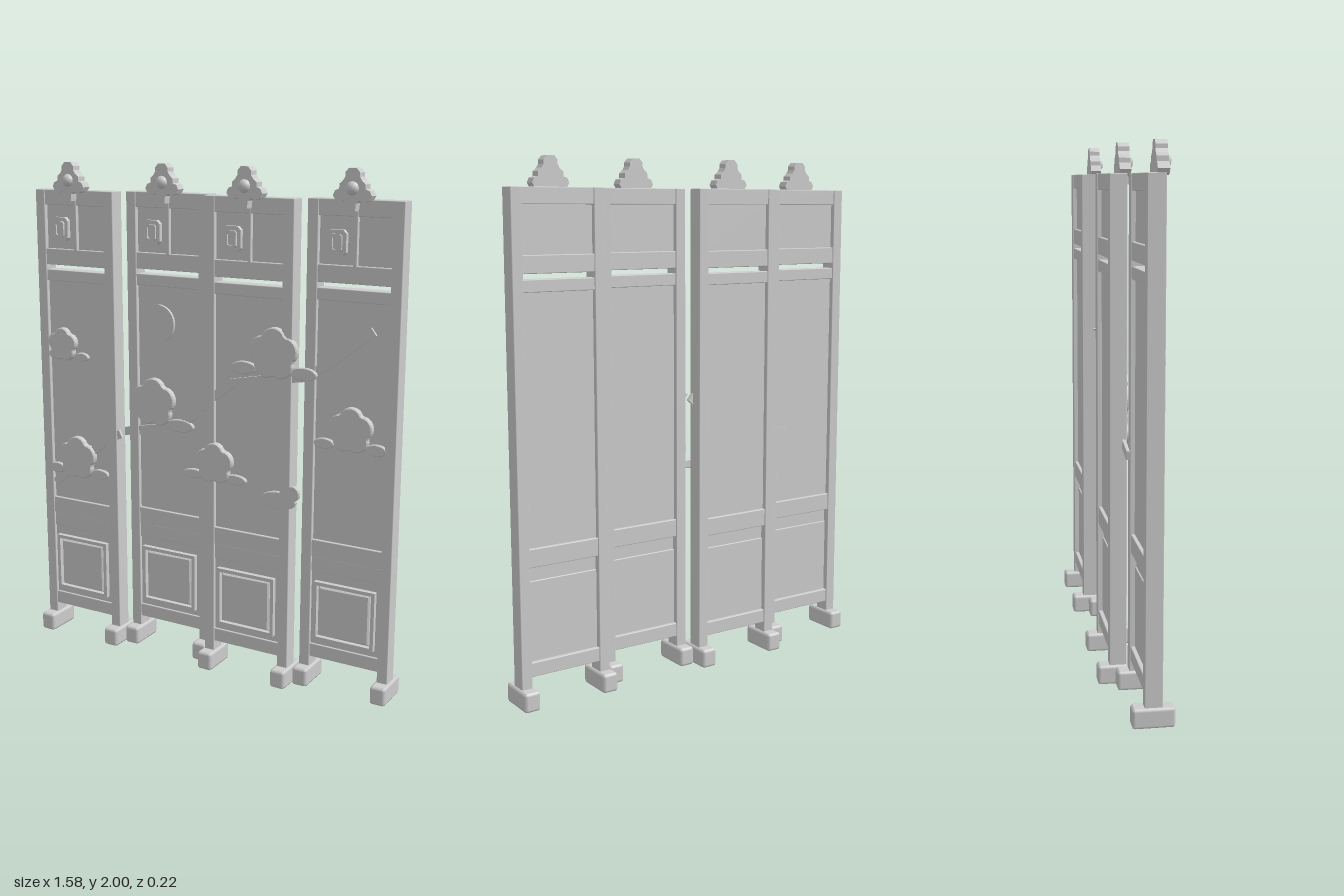
import * as THREE from 'three';
import { RoundedBoxGeometry } from 'three/addons/geometries/RoundedBoxGeometry.js';

const stone = new THREE.MeshStandardMaterial({ color: 0xcccccc });
stone.name = 'pale grey';

function add(parent, name, geometry, x = 0, y = 0, z = 0) {
  const mesh = new THREE.Mesh(geometry, stone);
  mesh.name = name;
  mesh.position.set(x, y, z);
  parent.add(mesh);
  return mesh;
}

// Box given by its limits, with slightly eased edges
function slab(parent, name, x0, x1, y0, y1, z0, z1, r = 0.003) {
  const g = new RoundedBoxGeometry(x1 - x0, y1 - y0, z1 - z0, 1, r);
  return add(parent, name, g, (x0 + x1) / 2, (y0 + y1) / 2, (z0 + z1) / 2);
}

function extrude(shape, depth, bevel = 0) {
  return new THREE.ExtrudeGeometry(shape, {
    depth: depth - bevel, bevelEnabled: bevel > 0, bevelThickness: bevel,
    bevelSize: bevel, bevelOffset: -bevel, bevelSegments: 1, curveSegments: 10,
  });
}

const toShape = (pts) => new THREE.Shape(pts.map(([x, y]) => new THREE.Vector2(x, y)));

// Rectangle with cut corners
const cutRect = (w, h, c) => toShape([
  [-w + c, -h], [w - c, -h], [w, -h + c], [w, h - c],
  [w - c, h], [-w + c, h], [-w, h - c], [-w, -h + c],
]);

function ring(w, h, c, t, depth) {
  const s = cutRect(w, h, c);
  s.holes.push(cutRect(w - t, h - t, c * 0.6));
  return extrude(s, depth);
}

// Five-lobed blossom outline
function blossom(r) {
  const pts = [];
  for (let i = 0; i < 50; i++) {
    const a = (i / 50) * Math.PI * 2;
    const q = r * (0.74 + 0.26 * Math.sqrt(Math.abs(Math.cos(2.5 * (a - Math.PI / 2)))));
    pts.push([Math.cos(a) * q, Math.sin(a) * q]);
  }
  return toShape(pts);
}

// Flat branch following a line of points
function branch(pts, width) {
  const v = pts.map(([x, y]) => new THREE.Vector2(x, y));
  const side = (s) => v.map((p, i) => {
    const d = v[Math.min(i + 1, v.length - 1)].clone().sub(v[Math.max(i - 1, 0)]).normalize();
    return new THREE.Vector2(p.x - d.y * s * width / 2, p.y + d.x * s * width / 2);
  });
  return extrude(new THREE.Shape([...side(-1), ...side(1).reverse()]), 0.012);
}

// Crest silhouette, right half from stem to tip
const crestHalf = [
  [0.012, 1.85], [0.015, 1.878], [0.03, 1.888], [0.045, 1.882], [0.064, 1.888], [0.074, 1.905],
  [0.066, 1.922], [0.05, 1.928], [0.05, 1.945], [0.036, 1.957], [0.028, 1.97],
  [0.028, 1.985], [0.015, 2.0],
];
const crestShape = toShape([...crestHalf, ...crestHalf.map(([x, y]) => [-x, y]).reverse()]);

// Frame, boards, mouldings and crest shared by every leaf of the screen
function makeLeaf() {
  const leaf = new THREE.Group();
  for (const s of [-1, 1]) {
    const x = s * 0.165;
    slab(leaf, 'post', x - 0.0215, x + 0.0215, 0.06, 1.89, -0.032, 0.032);
    slab(leaf, 'foot', x - 0.032, x + 0.032, 0, 0.075, -0.077, 0.077, 0.012);
  }
  const rails = [[1.83, 1.89], [1.59, 1.655], [1.57, 1.525], [0.53, 0.6], [0.115, 0.17]];
  for (const [a, b] of rails) {
    slab(leaf, 'rail', -0.15, 0.15, Math.min(a, b), Math.max(a, b), -0.028, 0.028);
  }
  slab(leaf, 'lowerFrontRail', -0.15, 0.15, 0.47, 0.531, -0.006, 0.024);
  slab(leaf, 'topBoard', -0.15, 0.15, 1.65, 1.84, -0.014, 0.014);
  slab(leaf, 'mainBoard', -0.15, 0.15, 0.59, 1.53, -0.014, 0.016);
  slab(leaf, 'lowerBoard', -0.145, 0.145, 0.165, 0.475, -0.012, 0.02);

  // Square moulding on the lower board
  add(leaf, 'lowerMoulding', ring(0.127, 0.12, 0.001, 0.014, 0.022), 0, 0.315, 0.018);
  add(leaf, 'lowerField', extrude(cutRect(0.105, 0.1, 0.001), 0.018, 0.006), 0, 0.315, 0.018);

  // Divider and plaque in the top panel
  slab(leaf, 'divider', -0.004, 0.01, 1.65, 1.86, 0.01, 0.03, 0.002);
  add(leaf, 'plaque', extrude(cutRect(0.038, 0.047, 0.013), 0.02), -0.07, 1.735, 0.012);
  add(leaf, 'plaqueRing', ring(0.023, 0.032, 0.008, 0.009, 0.01), -0.07, 1.735, 0.03);

  // Crest with round boss
  add(leaf, 'crest', extrude(crestShape, 0.042), 0, 0, 0.022);
  add(leaf, 'crestBoss', new THREE.SphereGeometry(0.026, 20, 14), 0, 1.93, 0.056);
  return leaf;
}

// Relief per leaf: branch points, blossoms [x, y, r], leaves [x, y, rx, ry]
const relief = [
  {
    branch: [[-0.73, 0.665], [-0.58, 0.785], [-0.47, 0.88], [-0.39, 0.92]],
    blossoms: [[-0.665, 1.265, 0.07], [-0.605, 0.79, 0.092]],
    leaves: [[-0.575, 1.22, 0.035, 0.018], [-0.715, 1.222, 0.025, 0.018],
      [-0.495, 0.733, 0.042, 0.02], [-0.715, 0.733, 0.04, 0.022]],
  },
  {
    branch: [[-0.48, 0.9], [-0.39, 0.92], [-0.25, 0.948], [-0.13, 0.985], [0, 1.09]],
    blossoms: [[-0.265, 1.055, 0.1]],
    leaves: [[-0.145, 0.972, 0.065, 0.026]],
    disc: [-0.245, 1.378, 0.075],
  },
  {
    branch: [[-0.02, 1.075], [0.13, 1.19], [0.26, 1.215], [0.44, 1.245]],
    blossoms: [[0.055, 0.862, 0.083], [0.31, 1.32, 0.1]],
    leaves: [[-0.04, 0.807, 0.05, 0.018], [0.145, 0.807, 0.05, 0.02], [0.18, 1.255, 0.055, 0.025],
      [0.43, 1.255, 0.055, 0.025], [0.335, 0.755, 0.075, 0.035], [0.395, 0.79, 0.028, 0.03]],
  },
  {
    branch: [[0.41, 1.235], [0.48, 1.275], [0.675, 1.425]],
    blossoms: [[0.6, 1.05, 0.088]],
    leaves: [[0.49, 0.987, 0.042, 0.02], [0.7, 0.987, 0.042, 0.022]],
  },
];

export function createModel() {
  const screen = new THREE.Group();
  screen.name = 'foldingScreen';
  relief.forEach((art, i) => {
    const cx = -0.5925 + i * 0.395;
    const leaf = makeLeaf();
    leaf.name = 'screenLeaf' + (i + 1);
    leaf.position.set(cx, 0, i % 2 ? -0.0335 : 0.031);

    add(leaf, 'branch', branch(art.branch, 0.034), -cx, 0, 0.0145);
    for (const [x, y, r] of art.blossoms) {
      add(leaf, 'blossom', extrude(blossom(r), 0.024, 0.004), x - cx, y, 0.018);
    }
    for (const [x, y, rx, ry] of art.leaves) {
      const oval = new THREE.Shape().absellipse(0, 0, rx, ry, 0, Math.PI * 2);
      add(leaf, 'leaf', extrude(oval, 0.014, 0.003), x - cx, y, 0.018);
    }
    if (art.disc) {
      const [x, y, r] = art.disc;
      const moon = add(leaf, 'moon', new THREE.CylinderGeometry(r, r, 0.016, 40), x - cx, y, 0.02);
      moon.rotation.x = Math.PI / 2;
    }
    screen.add(leaf);
  });
  return screen;
}
